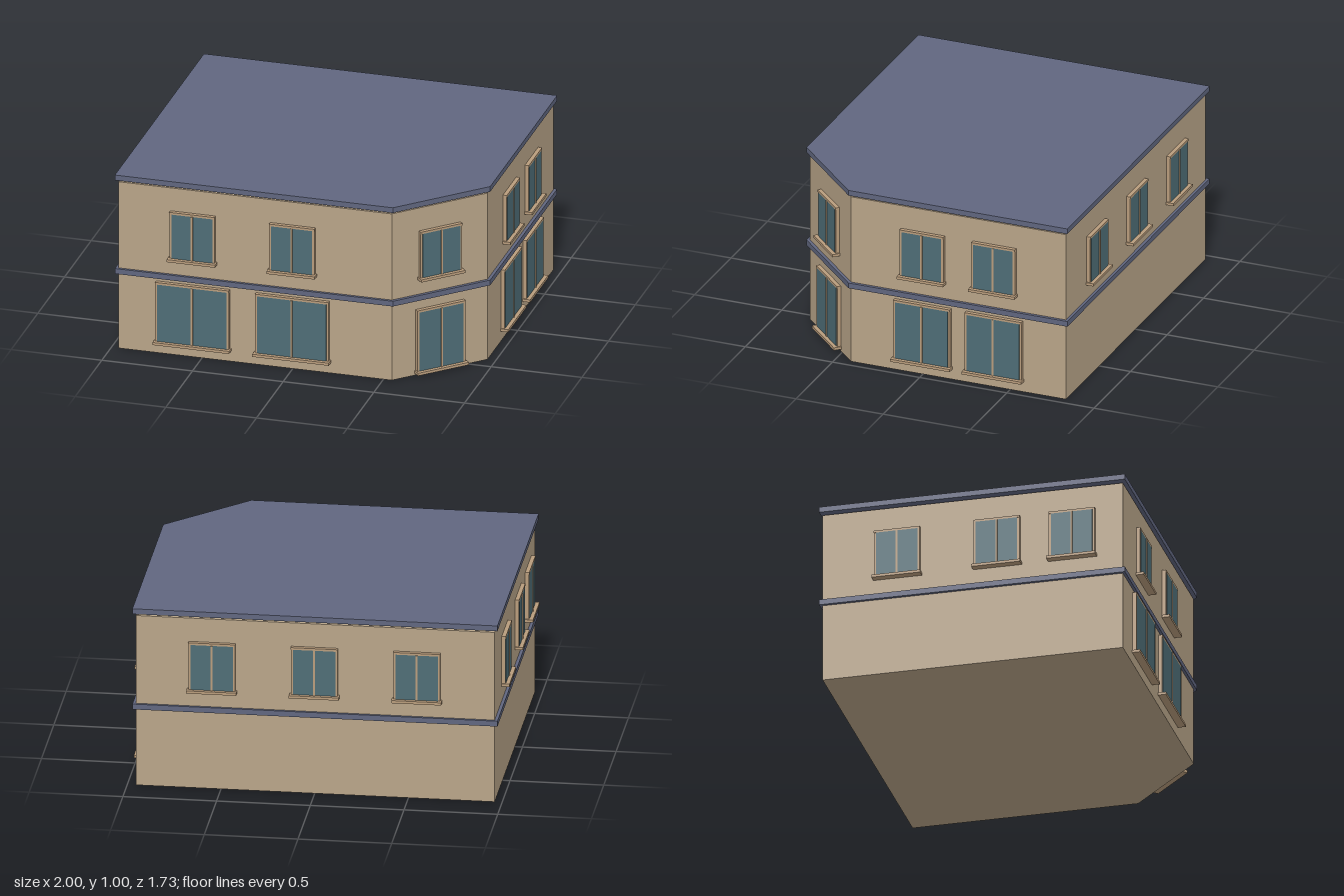
import * as THREE from 'three';

const material = (name, color) => {
  const m = new THREE.MeshStandardMaterial({ color });
  m.name = name;
  return m;
};

export function createModel() {
  const wall = material('wall tan', 0xb8a488);
  const trim = material('slate blue', 0x60667f);
  const frame = material('frame tan', 0xb89c7c);
  const glass = material('glass teal', 0x4e6d76);

  const model = new THREE.Group();
  model.name = 'cornerBuilding';

  // Horizontal slab with one cut-off front corner
  const slab = (name, mat, x0, x1, z, cut, y0, y1) => {
    const outline = new THREE.Shape([
      [x0, -z], [x1 - cut, -z], [x1, cut - z], [x1, z], [x0, z],
    ].map(([x, y]) => new THREE.Vector2(x, y)));
    const geo = new THREE.ExtrudeGeometry(outline, { depth: y1 - y0, bevelEnabled: false });
    geo.rotateX(-Math.PI / 2).translate(0, y0, 0);
    const mesh = new THREE.Mesh(geo, mat);
    mesh.name = name;
    model.add(mesh);
  };
  slab('walls', wall, -0.96, 0.954, 0.82, 0.408, 0, 0.96);
  slab('floorBand', trim, -0.977, 0.971, 0.835, 0.415, 0.433, 0.463);
  slab('roof', trim, -0.977, 0.971, 0.835, 0.415, 0.973, 1.003);

  // Window or door: raised frame, glass, central bar and sill
  const opening = (name, x, z, turn, w, y0, y1, sillWidth = w + 0.016) => {
    const group = new THREE.Group();
    group.name = name;
    const box = (part, mat, bw, bh, bd, bx, by, bz) => {
      const mesh = new THREE.Mesh(new THREE.BoxGeometry(bw, bh, bd), mat);
      mesh.name = part;
      mesh.position.set(bx, by, bz);
      group.add(mesh);
    };
    const t = 0.012, h = y1 - y0, mid = (y0 + y1) / 2;
    for (const s of [-1, 1]) box('jamb', frame, t, h, 0.02, s * (w - t) / 2, mid, 0.01);
    box('head', frame, w, t, 0.022, 0, y1 - t / 2, 0.011);
    box('glass', glass, w - 2 * t, h - t, 0.022, 0, mid - t / 2, 0.011);
    box('centreBar', frame, 0.01, h - t, 0.027, 0, mid - t / 2, 0.0135);
    box('sill', frame, sillWidth, 0.015, 0.043, 0, y0 + 0.0025, 0.0215);
    group.position.set(x, 0, z);
    group.rotation.y = turn;
    model.add(group);
  };

  const upper = [0.25, 0.553, 0.828];
  const Q = Math.PI / 2;

  // Front wall
  for (const x of [-0.55, 0]) {
    opening('frontUpperWindow', x, 0.82, 0, ...upper);
    opening('frontShopWindow', x, 0.82, 0, 0.406, 0.065, 0.414);
  }
  // Left wall
  for (const z of [0, -0.41]) {
    opening('leftUpperWindow', 0.954, z, Q, ...upper);
    opening('leftShopWindow', 0.954, z, Q, 0.325, 0.065, 0.412);
  }
  // Back and right walls
  for (const x of [-0.547, 0, 0.547]) opening('backWindow', x, -0.82, 2 * Q, ...upper);
  for (const z of [-0.41, 0.135, 0.545]) opening('rightWindow', -0.96, z, -Q, ...upper);

  // Cut corner with the entrance
  opening('cornerWindow', 0.75, 0.616, Q / 2, ...upper);
  opening('entranceDoor', 0.75, 0.616, Q / 2, 0.29, 0.018, 0.378, 0.306);

  return model;
}
